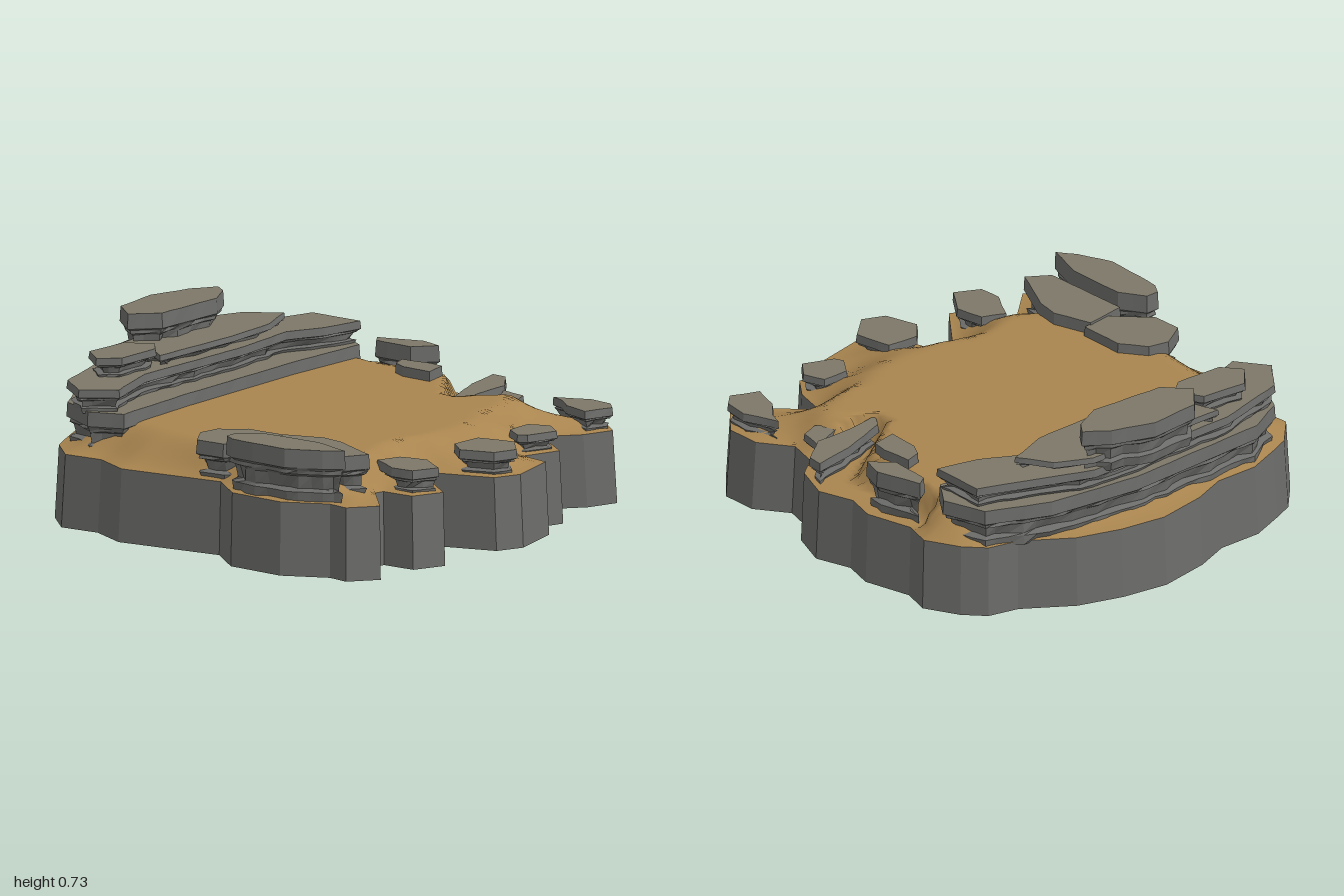
import * as THREE from 'three';

const BASE = 0.3, TOP = 0.42; // rim and plateau heights

const rockMat = new THREE.MeshStandardMaterial({ color: 0x6c6c6a, flatShading: true });
const capMat = new THREE.MeshStandardMaterial({ color: 0x7d7768, flatShading: true });
const sandMat = new THREE.MeshStandardMaterial({ color: 0xa9854f });

// Ground outline (x, z), with spurs and gullies along the front
const rim = points([
  0.03, -0.99, 0.23, -0.96, 0.42, -0.9, 0.62, -0.77, 0.75, -0.74, 0.83, -0.66, 0.91, -0.52, 0.88, -0.4,
  0.94, -0.2, 0.91, -0.07, 0.965, 0.08, 0.91, 0.24, 0.82, 0.31, 0.79, 0.44, 0.89, 0.57, 0.9, 0.72,
  0.81, 0.83, 0.68, 0.78, 0.51, 0.63, 0.48, 0.77, 0.41, 0.87, 0.25, 0.81, 0.23, 0.94, 0, 0.99,
  -0.11, 0.94, -0.2, 0.69, -0.26, 0.7, -0.43, 0.93, -0.56, 0.87, -0.57, 0.73, -0.61, 0.72, -0.77, 0.87,
  -0.88, 0.78, -0.87, 0.69, -0.965, 0.51, -0.965, 0.26, -0.85, 0.11, -0.93, -0.34, -0.86, -0.5, -0.88, -0.67,
  -0.77, -0.79, -0.68, -0.83, -0.53, -0.89, -0.34, -0.89, -0.19, -0.95]);

// Edge of the raised flat ground
const plateau = points([
  -0.62, -0.5, 0.73, -0.5, 0.73, 0.02, 0.48, 0.2, 0.48, 0.29, 0.62, 0.42, 0.5, 0.48, 0.35, 0.5,
  0.15, 0.56, -0.1, 0.56, -0.3, 0.5, -0.48, 0.55, -0.62, 0.42, -0.72, 0]);

// Flat list of x, z to points (x, -z), counter-clockwise seen from above
function points(list) {
  const out = [];
  for (let i = 0; i < list.length; i += 2) out.push(new THREE.Vector2(list[i], -list[i + 1]));
  return THREE.ShapeUtils.isClockWise(out) ? out.reverse() : out;
}

function randomFrom(seed) {
  return () => {
    seed = (seed * 16807) % 2147483647;
    return seed / 2147483647;
  };
}

// Split the edges of a loop into steps of about the given length
function resample(loop, step) {
  return loop.flatMap((a, i) => {
    const b = loop[(i + 1) % loop.length];
    const n = Math.max(1, Math.round(a.distanceTo(b) / step));
    return Array.from({ length: n }, (_, k) => a.clone().lerp(b, k / n));
  });
}

function edgeDistance(p, loop) {
  let best = Infinity;
  loop.forEach((a, i) => {
    const d = loop[(i + 1) % loop.length].clone().sub(a);
    const t = THREE.MathUtils.clamp(p.clone().sub(a).dot(d) / d.lengthSq(), 0, 1);
    best = Math.min(best, a.clone().addScaledVector(d, t).distanceTo(p));
  });
  return best;
}

function isInside(p, loop) {
  let inside = false;
  loop.forEach((a, i) => {
    const b = loop[(i + 1) % loop.length];
    if ((a.y > p.y) !== (b.y > p.y) && p.x < ((b.x - a.x) * (p.y - a.y)) / (b.y - a.y) + a.x) inside = !inside;
  });
  return inside;
}

function makeMesh(name, pos, index, material) {
  const g = new THREE.BufferGeometry();
  g.setAttribute('position', new THREE.Float32BufferAttribute(pos, 3));
  g.setIndex(index);
  g.computeVertexNormals();
  const mesh = new THREE.Mesh(g, material);
  mesh.name = name;
  return mesh;
}

// Walls through stacked rings of equal count
function walls(name, rings, material) {
  const n = rings[0].pts.length, pos = [], index = [];
  rings.forEach(({ pts, y }) => pts.forEach((p) => pos.push(p.x, y, -p.y)));
  for (let r = 0; r < rings.length - 1; r++) {
    for (let i = 0; i < n; i++) {
      const a = r * n + i, b = r * n + (i + 1) % n;
      index.push(a, b, b + n, a, b + n, a + n);
    }
  }
  return makeMesh(name, pos, index, material);
}

// Flat lid over a ring, facing up or down
function lid(name, { pts, y }, up, material) {
  const pos = pts.flatMap((p) => [p.x, y, -p.y]);
  const index = THREE.ShapeUtils.triangulateShape(pts, []).flatMap(([a, b, c]) => {
    const ccw = pts[b].clone().sub(pts[a]).cross(pts[c].clone().sub(pts[a])) > 0;
    return ccw === up ? [a, b, c] : [a, c, b];
  });
  return makeMesh(name, pos, index, material);
}

// Layered slab of rock: chipped strata below a cleaner overhanging cap
function slab(name, y0, y1, list, seed) {
  const rand = randomFrom(seed * 7919 + 13);
  const loop = resample(points(list), 0.06);
  const n = loop.length;
  const strata = [[0, 0.02], [0.22, 0.012], [0.27, 0.035], [0.5, 0.025], [0.55, 0.008], [0.62, 0.008], [0.67, 0], [1, 0.004]];
  const chips = loop.map(() => rand());
  const rings = strata.map(([t, inset], r) => ({
    y: y0 + (y1 - y0) * t,
    pts: loop.map((p, i) => {
      const d = loop[(i + 1) % n].clone().sub(loop[(i + n - 1) % n]).normalize();
      const depth = inset * (0.5 + chips[i]) + (r < 6 ? rand() * 0.012 : 0);
      return new THREE.Vector2(p.x - d.y * depth, p.y + d.x * depth);
    }),
  }));
  const g = new THREE.Group();
  g.name = name;
  g.add(walls(name + 'Sides', rings, rockMat), lid(name + 'Top', rings.at(-1), true, capMat),
    lid(name + 'Underside', rings[0], false, rockMat));
  return g;
}

// Sand height: level plateau, slopes to the rim, and a steep step on the left side
function sandHeight(p) {
  if (isInside(p, plateau)) return TOP;
  const toRim = edgeDistance(p, rim), toFlat = edgeDistance(p, plateau);
  let t = toRim / (toRim + toFlat + 1e-6);
  if (p.x > 0.48 && p.y < 0.43 && p.y > -0.29) t = Math.min(t, 1 - toFlat / 0.06);
  return BASE + (TOP - BASE) * THREE.MathUtils.smoothstep(t, 0, 1);
}

// Rings of the rim shrinking to the centre, lifted by the height rule
function sandGround() {
  const loop = resample(rim, 0.035), n = loop.length, rings = 32, pos = [], index = [];
  for (let r = 0; r < rings; r++) {
    loop.forEach((p, i) => {
      const q = p.clone().multiplyScalar(0.985 * (1 - r / rings));
      pos.push(q.x, r ? sandHeight(q) : BASE, -q.y);
      const a = r * n + i, b = r * n + (i + 1) % n;
      if (r < rings - 1) index.push(a, b, b + n, a, b + n, a + n);
      else index.push(a, b, rings * n);
    });
  }
  pos.push(0, TOP, 0);
  return makeMesh('sandGround', pos, index, sandMat);
}

export function createModel() {
  const model = new THREE.Group();
  model.name = 'rockyPlateau';

  // Cliff base, slightly tapered
  const foot = { y: 0, pts: rim };
  const brow = { y: BASE, pts: rim.map((p) => p.clone().multiplyScalar(0.985)) };
  model.add(walls('cliffWall', [foot, brow], rockMat), lid('cliffUnderside', foot, false, rockMat), sandGround());

  let seed = 1;
  const add = (name, y0, y1, list) => model.add(slab(name, y0, y1, list, seed++));

  // Stepped ridge along the back
  add('ridgeFoot', 0.29, 0.47, [-0.8, -0.6, -0.74, -0.46, -0.3, -0.47, 0.36, -0.46, 0.75, -0.43, 0.83, -0.55,
    0.76, -0.73, 0.5, -0.84, 0.1, -0.89, -0.55, -0.86, -0.72, -0.77]);
  add('ridgeMiddle', 0.46, 0.56, [-0.82, -0.63, -0.72, -0.5, -0.45, -0.58, -0.07, -0.56, 0.16, -0.55, 0.45, -0.57,
    0.6, -0.49, 0.78, -0.45, 0.77, -0.69, 0.46, -0.81, 0.3, -0.87, -0.4, -0.86, -0.72, -0.77]);
  add('ridgeUpper', 0.54, 0.61, [-0.28, -0.68, -0.33, -0.6, 0.1, -0.57, 0.36, -0.58, 0.54, -0.65, 0.45, -0.79,
    0.3, -0.86, -0.35, -0.86]);
  add('ridgeSideCap', 0.55, 0.64, [-0.62, -0.7, -0.54, -0.8, -0.34, -0.78, -0.27, -0.67, -0.34, -0.61, -0.55, -0.62]);
  add('ridgeSummit', 0.54, 0.73, [-0.25, -0.83, -0.16, -0.94, 0.06, -0.96, 0.24, -0.9, 0.34, -0.83, 0.3, -0.77,
    0.18, -0.71, -0.15, -0.73]);

  // Boulders on the left side
  add('leftRearBoulder', 0.29, 0.49, [0.78, -0.38, 0.83, -0.41, 0.9, -0.22, 0.87, -0.12, 0.78, -0.2]);
  add('leftStepBoulder', 0.29, 0.46, [0.6, -0.1, 0.63, -0.16, 0.7, -0.18, 0.72, -0.05, 0.71, 0.02, 0.6, 0.04]);
  add('leftLedge', 0.29, 0.4, [0.48, 0.29, 0.52, 0.22, 0.74, 0.14, 0.92, 0.11, 0.92, 0.18, 0.8, 0.27, 0.62, 0.27]);
  add('leftLowBoulder', 0.29, 0.38, [0.62, 0.34, 0.8, 0.26, 0.78, 0.38, 0.7, 0.41]);

  // Boulders on the front spurs
  add('frontLeftBoulder', 0.29, 0.39, [0.69, 0.76, 0.72, 0.64, 0.78, 0.57, 0.8, 0.51, 0.87, 0.65, 0.86, 0.76, 0.81, 0.81]);
  add('frontInnerBoulder', 0.29, 0.38, [0.25, 0.76, 0.3, 0.68, 0.42, 0.68, 0.46, 0.77, 0.4, 0.85, 0.27, 0.8]);
  add('frontMiddleBoulder', 0.29, 0.4, [-0.15, 0.78, -0.08, 0.7, 0.06, 0.71, 0.1, 0.87, 0, 0.96, -0.1, 0.92]);
  add('frontRightBoulder', 0.29, 0.4, [-0.55, 0.75, -0.48, 0.62, -0.38, 0.66, -0.35, 0.78, -0.43, 0.9, -0.54, 0.85]);

  // Boulders on the right side
  add('rightRearBoulder', 0.29, 0.46, [-0.86, 0, -0.75, -0.07, -0.66, -0.05, -0.58, 0.05, -0.57, 0.25, -0.7, 0.27, -0.85, 0.13]);
  add('rightInnerBoulder', 0.29, 0.47, [-0.78, 0.27, -0.6, 0.24, -0.54, 0.4, -0.55, 0.5, -0.65, 0.72, -0.75, 0.66]);
  add('rightOuterBoulder', 0.29, 0.52, [-0.92, 0.2, -0.86, 0.2, -0.79, 0.3, -0.77, 0.56, -0.82, 0.73, -0.88, 0.66, -0.95, 0.52, -0.95, 0.25]);

  return model;
}
